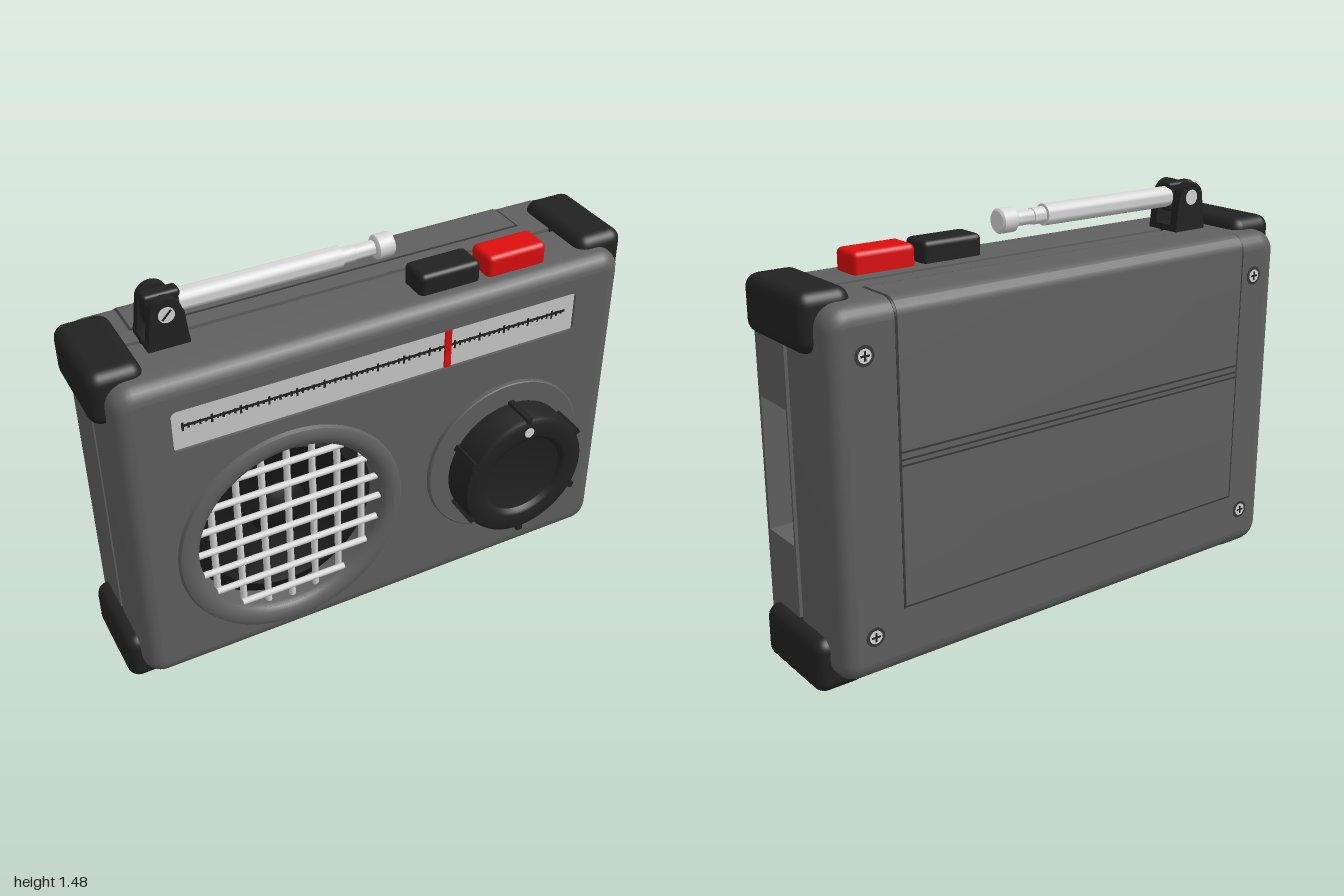
import * as THREE from 'three';
import { toCreasedNormals } from 'three/addons/utils/BufferGeometryUtils.js';
import { RoundedBoxGeometry } from 'three/addons/geometries/RoundedBoxGeometry.js';

const material = (name, color, side = THREE.FrontSide) => {
  const m = new THREE.MeshStandardMaterial({ color, side });
  m.name = name;
  return m;
};

export function createModel() {
  const grey = material('case grey', 0x606060, THREE.DoubleSide);
  const seamGrey = material('seam grey', 0x383838);
  const black = material('rubber black', 0x222222);
  const silver = material('silver', 0xd6d6d6);
  const panel = material('dial panel', 0xcacaca);
  const red = material('red', 0xdd0e0e);
  const model = new THREE.Group();
  model.name = 'radio';

  const add = (name, geometry, mat, x = 0, y = 0, z = 0, parent = model) => {
    const mesh = new THREE.Mesh(geometry, mat);
    mesh.name = name;
    mesh.position.set(x, y, z);
    parent.add(mesh);
    return mesh;
  };
  const group = (name) => {
    const g = new THREE.Group();
    g.name = name;
    model.add(g);
    return g;
  };
  // Lathe around z, from [radius, z] pairs
  const turned = (pts, seg = 64) => toCreasedNormals(
    new THREE.LatheGeometry(pts.map(([r, z]) => new THREE.Vector2(r, z)), seg).rotateX(Math.PI / 2), 0.6);
  // Rounded rectangle points, counterclockwise from the lower right corner
  const N = 6;
  const roundRect = (x0, x1, y0, y1, r) => {
    const pts = [];
    [[x1 - r, y0 + r], [x1 - r, y1 - r], [x0 + r, y1 - r], [x0 + r, y0 + r]].forEach(([cx, cy], k) => {
      for (let i = 0; i <= N; i++) {
        const a = (k - 1 + i / N) * Math.PI / 2;
        pts.push(new THREE.Vector2(cx + r * Math.cos(a), cy + r * Math.sin(a)));
      }
    });
    return pts;
  };
  // Box with one face left open
  const openBox = (w, h, d, face) => {
    const g = new THREE.BoxGeometry(w, h, d);
    const idx = Array.from(g.index.array);
    idx.splice(face * 6, 6);
    g.setIndex(idx);
    g.clearGroups();
    return g;
  };

  // Case shell: outlines lofted along z, with rounded rims and a seam groove
  const X = 0.953, Y0 = 0.05, Y1 = 1.3, ZB = -0.34, ZF = 0.18, R = 0.06, CR = 0.075;
  const outline = (inset) => roundRect(-X + inset, X - inset, Y0 + inset, Y1 - inset, CR - inset);
  const rim = Array.from({ length: N + 1 }, (_, i) => {
    const a = i / N * Math.PI / 2;
    return [R * (1 - Math.sin(a)), R * (1 - Math.cos(a))];
  });
  const sections = [
    ...rim.map(([inset, dz]) => [ZB + dz, inset]),
    [-0.085, 0], [-0.085, 0.012], [-0.062, 0.012], [-0.062, 0],
    ...rim.map(([inset, dz]) => [ZF - dz, inset]).reverse(),
  ];
  const loopSize = 4 * (N + 1), pos = [], idx = [];
  sections.forEach(([z, inset], i) => {
    outline(inset).forEach((p) => pos.push(p.x, p.y, z));
    if (!i) return;
    for (let j = 0; j < loopSize; j++) {
      if (i === N + 5 && j === N) continue; // wall with the side niche
      const k = (j + 1) % loopSize, lo = (i - 1) * loopSize, hi = i * loopSize;
      idx.push(lo + j, lo + k, hi + k, lo + j, hi + k, hi + j);
    }
  });
  const shell = new THREE.BufferGeometry();
  shell.setAttribute('position', new THREE.Float32BufferAttribute(pos, 3));
  shell.setIndex(idx);
  add('caseShell', toCreasedNormals(shell, 0.6), grey);

  // Front face with speaker and dial openings, plain back face
  const SX = -0.37, SY = 0.545, SR = 0.355;
  const front = new THREE.Shape(outline(R));
  front.holes.push(new THREE.Path().absarc(SX, SY, SR, 0, Math.PI * 2, true));
  front.holes.push(new THREE.Path(roundRect(-0.77, 0.76, 1.03, 1.185, 0.02)));
  add('frontFace', new THREE.ShapeGeometry(front, 48), grey, 0, 0, ZF);
  add('backFace', new THREE.ShapeGeometry(new THREE.Shape(outline(R))).rotateY(Math.PI), grey, 0, 0, ZB);

  // Side wall with a recessed niche
  const wall = new THREE.Shape(roundRect(-0.12, 0.062, Y0 + CR, Y1 - CR, 0));
  wall.holes.push(new THREE.Path(roundRect(-0.118, 0.052, 0.45, 0.92, 0)));
  add('sideWall', new THREE.ShapeGeometry(wall).rotateY(Math.PI / 2), grey, X, 0, 0);
  add('sideNiche', openBox(0.1, 0.47, 0.17, 0), grey, X - 0.05, 0.685, 0.033);

  // Battery lid wrapping over the top rear edge, on a slightly wider seam
  const lidShape = (g, proud) => {
    const s = new THREE.Shape();
    const b = -ZB + proud, t = Y1 + proud;
    s.moveTo(0.16 - g, 1.2).lineTo(0.16 - g, t).lineTo(b - R, t);
    s.absarc(b - R, t - R, R, Math.PI / 2, 0, true);
    s.lineTo(b, 0.28 - g).lineTo(0.3, 0.28 - g).lineTo(0.3, 1.2);
    return s;
  };
  const lid = (name, g, proud, mat) => {
    const w = 1.475 + 2 * g;
    const geo = new THREE.ExtrudeGeometry(lidShape(g, proud), { depth: w, bevelEnabled: false, curveSegments: 8 });
    add(name, toCreasedNormals(geo.translate(0, 0, -w / 2).rotateY(Math.PI / 2), 0.6).scale(1, 1, 1), mat, -0.025);
  };
  lid('lidSeam', 0.008, 0.001, seamGrey);
  lid('batteryLid', 0, 0.003, grey);
  for (const y of [0.765, 0.785, 0.81])
    add('lidGroove', new THREE.BoxGeometry(1.475, 0.006, 0.004), seamGrey, -0.025, y, ZB - 0.003);

  // Rear screws
  for (const x of [-0.83, 0.83]) for (const y of [0.205, 1.145]) {
    const g = group('rearScrew');
    g.position.set(x, y, ZB);
    add('screwWell', new THREE.CylinderGeometry(0.034, 0.034, 0.004, 24).rotateX(Math.PI / 2), seamGrey, 0, 0, 0, g);
    add('screwHead', new THREE.CylinderGeometry(0.023, 0.023, 0.008, 20).rotateX(Math.PI / 2), silver, 0, 0, 0, g);
    for (const [w, h] of [[0.032, 0.007], [0.007, 0.032]])
      add('screwSlot', new THREE.BoxGeometry(w, h, 0.002), black, 0, 0, -0.004, g);
  }

  // Rubber corner guards
  for (const x of [-0.905, 0.905]) for (const y of [0.097, 1.243])
    add('cornerGuard', new RoundedBoxGeometry(0.19, 0.194, 0.37, 4, 0.045), black, x, y, -0.075);

  // Tuning dial: recessed panel, scale ticks and needle
  const dial = group('tuningDial');
  add('dialRecess', openBox(1.54, 0.165, 0.02, 4), grey, -0.005, 1.1075, 0.169, dial);
  add('dialPanel', new THREE.BoxGeometry(1.535, 0.16, 0.006), panel, -0.005, 1.1075, 0.163, dial);
  add('scaleLine', new THREE.BoxGeometry(1.46, 0.009, 0.002), black, -0.005, 1.115, 0.167, dial);
  for (let i = 0; i <= 72; i++) {
    const h = i % 5 === 0 ? 0.032 : i % 2 ? 0.02 : 0.013;
    add('scaleTick', new THREE.BoxGeometry(0.007, h, 0.002), black, -0.73 + i * 0.02, 1.112, 0.167, dial);
  }
  add('needle', new THREE.BoxGeometry(0.024, 0.155, 0.008), red, 0.24, 1.1075, 0.171, dial);

  // Speaker: rounded rim, dark cone and wire grille
  const speaker = group('speaker');
  speaker.position.set(SX, SY, 0);
  add('speakerRim', turned([[0.35, 0.08], [0.35, 0.165], [0.357, 0.183], [0.372, 0.195], [0.39, 0.2],
    [0.41, 0.2], [0.425, 0.194], [0.432, 0.178]]), grey, 0, 0, 0, speaker);
  const cone = material('cone black', 0x1a1a1a, THREE.DoubleSide);
  add('speakerCone', turned([[0, 0.09], [0.06, 0.08], [0.11, 0.05], [0.27, 0.1], [0.3, 0.115], [0.33, 0.1], [0.355, 0.09]]),
    cone, 0, 0, 0, speaker);
  for (let i = -3; i <= 3; i++) {
    const d = i * 0.0955, len = 2 * Math.sqrt(0.352 ** 2 - d * d);
    const bar = new THREE.CylinderGeometry(0.0125, 0.0125, len, 10);
    add('grilleUpright', bar, silver, d, 0, 0.145, speaker);
    add('grilleCrossbar', bar.clone().rotateZ(Math.PI / 2), silver, 0, d, 0.162, speaker);
  }

  // Tuning knob with a dished face, six ribs and a marker dot
  const knob = group('tuningKnob');
  knob.position.set(0.492, 0.563, 0);
  add('knobPlate', turned([[0.322, 0.178], [0.322, 0.196], [0.318, 0.199], [0, 0.199]].reverse()), grey, 0, 0, 0, knob);
  add('knobShaft', new THREE.CylinderGeometry(0.12, 0.12, 0.04, 32).rotateX(Math.PI / 2), black, 0, 0, 0.205, knob);
  add('knobBody', turned([[0, 0.21], [0.246, 0.21], [0.25, 0.214], [0.25, 0.322], [0.245, 0.335], [0.232, 0.341],
    [0.178, 0.341], [0.168, 0.336], [0.158, 0.322], [0.14, 0.316], [0, 0.316]]), black, 0, 0, 0, knob);
  for (let i = 0; i < 6; i++) {
    const a = Math.PI / 2 + i * Math.PI / 3;
    add('knobRib', new THREE.BoxGeometry(0.03, 0.022, 0.125), black,
      0.248 * Math.cos(a), 0.248 * Math.sin(a), 0.276, knob).rotation.z = a;
  }
  add('knobDot', new THREE.CylinderGeometry(0.019, 0.019, 0.008, 20).rotateX(Math.PI / 2), silver, 0, 0.203, 0.341, knob);

  // Push buttons on top
  add('blackButton', new RoundedBoxGeometry(0.236, 0.12, 0.122, 4, 0.02), black, 0.281, 1.315, 0.048);
  add('redButton', new RoundedBoxGeometry(0.236, 0.12, 0.122, 4, 0.02), red, 0.547, 1.315, 0.048);

  // Antenna bracket, hinge and telescopic rod
  const antenna = group('antenna');
  antenna.position.set(-0.69, 1.422, -0.071);
  const plate = new THREE.Shape();
  plate.moveTo(-0.072, -0.125).lineTo(0.072, -0.125).lineTo(0.06, 0);
  plate.absarc(0, 0, 0.055, 0, Math.PI, false);
  const cheek = new THREE.ExtrudeGeometry(plate, { depth: 0.034, bevelEnabled: false, curveSegments: 16 });
  for (const z of [-0.071, 0.037]) add('bracketCheek', toCreasedNormals(cheek, 0.6), black, 0, 0, z, antenna);
  add('bracketBase', new THREE.BoxGeometry(0.144, 0.03, 0.14), black, 0, -0.115, 0, antenna);
  add('hingeBlock', new RoundedBoxGeometry(0.125, 0.105, 0.052, 3, 0.012), black, 0.006, 0, 0, antenna);
  add('hingePin', new THREE.CylinderGeometry(0.028, 0.028, 0.146, 20).rotateX(Math.PI / 2), silver, 0, 0, 0, antenna);
  add('pinSlot', new THREE.BoxGeometry(0.045, 0.007, 0.002), black, 0, 0, 0.073, antenna).rotation.z = 0.8;
  const rod = turned([[0, 0.06], [0.038, 0.06], [0.038, 0.64], [0.029, 0.642], [0.029, 0.69], [0.026, 0.692], [0.026, 0.765],
    [0.036, 0.767], [0.043, 0.774], [0.043, 0.828], [0.036, 0.835], [0, 0.835]], 24);
  add('telescopicRod', rod.rotateY(Math.PI / 2), silver, 0, 0, 0, antenna);
  return model;
}
